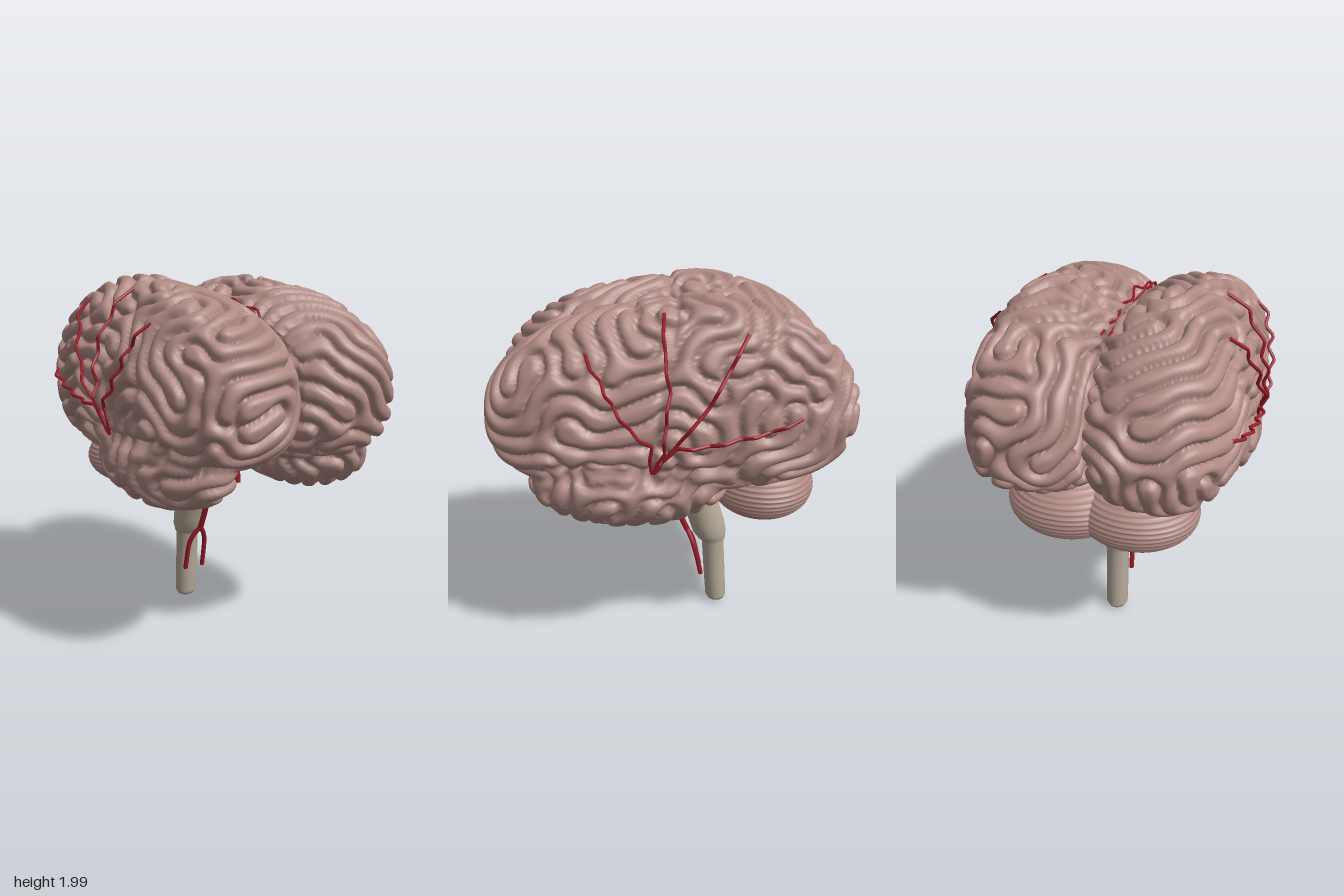
import * as THREE from 'three';
import { mergeVertices } from 'three/addons/utils/BufferGeometryUtils.js';

const tissue = new THREE.MeshStandardMaterial({ color: 0xb08a84 });
tissue.name = 'pink tissue';
const pale = new THREE.MeshStandardMaterial({ color: 0xb7aa99 });
pale.name = 'pale stem';
const red = new THREE.MeshStandardMaterial({ color: 0x9c1c2a, side: THREE.DoubleSide });
red.name = 'artery red';

function seeded(seed) {
  return () => {
    seed = (Math.imul(seed, 1664525) + 1013904223) >>> 0;
    return seed / 4294967296;
  };
}

// Drop seams so that normals run smoothly all the way round
function weld(geometry) {
  geometry.deleteAttribute('uv');
  geometry.deleteAttribute('normal');
  const g = mergeVertices(geometry, 1e-5);
  g.computeVertexNormals();
  return g;
}

function addMesh(group, name, geometry, material) {
  const mesh = new THREE.Mesh(geometry, material);
  mesh.name = name;
  group.add(mesh);
  return mesh;
}

// Smooth outline of one hemisphere: a rounded main body joined with the temporal lobe
const CENTRE = new THREE.Vector3(0.34, 1.42, 0);
const OUTER = 0.375, INNER = 0.5, LENGTH = 0.955, PLAN = 2.6;
const LOBE = { c: new THREE.Vector3(0.42, 1.05, 0.225), r: new THREE.Vector3(0.295, 0.245, 0.53) };
const power = (a, b, p) => Math.pow(Math.pow(Math.abs(a), p) + Math.pow(Math.abs(b), p), 1 / p);
// Half height and roundness: the crown is higher at the back, the underside is flatter
const height = (y, z) => (y > 0 ? [0.56 - 0.027 * Math.tanh((z + 0.03) / 0.12), 2] : [0.42, 3]);

function outline(d) {
  const [ry, p] = height(d.y, d.z);
  const plan = power(d.x / (d.x > 0 ? OUTER : INNER), d.z / LENGTH, PLAN);
  let t = 1 / power(plan, d.y / ry, p);
  const o = CENTRE.clone().sub(LOBE.c).divide(LOBE.r), e = d.clone().divide(LOBE.r);
  const a = e.dot(e), b = o.dot(e), disc = b * b - a * (o.dot(o) - 1);
  if (disc > 0) t = Math.max(t, (-b + Math.sqrt(disc)) / a);
  return d.clone().multiplyScalar(t).add(CENTRE);
}

// Outer side of the main body at a given height and depth
function sideX(y, z) {
  const [ry, p] = height(y - CENTRE.y, z);
  const plan = Math.pow(Math.max(0, 1 - Math.pow(Math.abs(y - CENTRE.y) / ry, p)), 1 / p);
  const rest = Math.pow(plan, PLAN) - Math.pow(Math.abs(z) / LENGTH, PLAN);
  return CENTRE.x + OUTER * Math.pow(Math.max(0.01, rest), 1 / PLAN);
}

// Labyrinth of folds: noise is repeatedly band-passed over the surface until it forms stripes
function foldField(pos, seed) {
  const n = pos.count, R = 0.14, s1 = 0.045, s2 = 0.071, P = pos.array;
  const cells = new Map();
  const key = (x, y, z) => (x + 50) * 40000 + (y + 50) * 200 + z + 50;
  const cell = (i, k) => Math.floor(P[3 * i + k] / R);
  for (let i = 0; i < n; i++) {
    const k = key(cell(i, 0), cell(i, 1), cell(i, 2));
    if (!cells.has(k)) cells.set(k, []);
    cells.get(k).push(i);
  }
  const near = [], weights = [];
  for (let i = 0; i < n; i++) {
    const ids = [], w1 = [], w2 = [];
    let sum1 = 0, sum2 = 0;
    const cx = cell(i, 0), cy = cell(i, 1), cz = cell(i, 2);
    for (let a = -1; a <= 1; a++) for (let b = -1; b <= 1; b++) for (let c = -1; c <= 1; c++) {
      const list = cells.get(key(cx + a, cy + b, cz + c));
      if (!list) continue;
      for (const j of list) {
        const dx = P[3 * i] - P[3 * j], dy = P[3 * i + 1] - P[3 * j + 1], dz = P[3 * i + 2] - P[3 * j + 2];
        const q = dx * dx + dy * dy + dz * dz;
        if (q > R * R) continue;
        const g1 = Math.exp(-q / (2 * s1 * s1)), g2 = Math.exp(-q / (2 * s2 * s2));
        ids.push(j); w1.push(g1); w2.push(g2);
        sum1 += g1; sum2 += g2;
      }
    }
    near.push(Int32Array.from(ids));
    weights.push(Float32Array.from(w1, (w, k) => w / sum1 - w2[k] / sum2));
  }
  const rand = seeded(seed);
  let u = Float32Array.from({ length: n }, () => rand() * 2 - 1), v;
  for (let step = 0; step < 13; step++) {
    v = new Float32Array(n);
    for (let i = 0; i < n; i++) {
      const ids = near[i], w = weights[i];
      let s = 0;
      for (let k = 0; k < ids.length; k++) s += w[k] * u[ids[k]];
      v[i] = s;
    }
    u = v.map((s) => Math.tanh(s * (step < 4 ? 40 : 10)));
  }
  return v;
}

function hemisphere(side, seed) {
  const g = weld(new THREE.IcosahedronGeometry(1, 54));
  const pos = g.attributes.position, d = new THREE.Vector3();
  for (let i = 0; i < pos.count; i++) {
    d.fromBufferAttribute(pos, i);
    d.set(d.x * side * 0.4, d.y * 0.55, d.z * 0.95);
    const p = outline(d);
    pos.setXYZ(i, side * Math.max(p.x, 0.007), p.y, p.z);
  }
  g.computeVertexNormals();
  const field = foldField(pos, seed), nor = g.attributes.normal;
  const furrow = (distance, width) => Math.exp(-((distance / width) ** 2));
  for (let i = 0; i < pos.count; i++) {
    const f = Math.min(1, Math.abs(field[i]) / 0.36);
    const x = pos.getX(i), y = pos.getY(i), z = pos.getZ(i);
    let sink = 0.05 * Math.pow(1 - f, 2.2);
    // Furrows across the crown, and the long one above the temporal lobe
    if (y > 1.3) sink += 0.025 * furrow(z + 0.02 - (2 - y) * 0.2, 0.018);
    if (y > 1.6) sink += 0.018 * furrow(z + 0.4, 0.016);
    if (side * x > 0.5 && z > -0.3 && z < 0.65) sink += 0.025 * furrow(y - 1.19, 0.025);
    const nx = x - nor.getX(i) * sink;
    pos.setXYZ(i, side * Math.max(side * nx, 0.005), y - nor.getY(i) * sink, z - nor.getZ(i) * sink);
  }
  g.computeVertexNormals();
  return g;
}

// One finely ridged lobe under the back of the hemispheres
function cerebellumLobe(side) {
  const g = new THREE.SphereGeometry(1, 52, 66), pos = g.attributes.position;
  for (let i = 0; i < pos.count; i++) {
    const c = THREE.MathUtils.clamp(pos.getY(i), -1, 1), s = Math.max(1e-6, Math.hypot(pos.getX(i), pos.getZ(i)));
    const ridge = 1 - 0.04 * (1 - Math.abs(Math.sin(22 * Math.acos(c))));
    const k = Math.pow(s, 0.9) / s * ridge;
    pos.setXYZ(i, side * 0.185 + pos.getX(i) * k * 0.335, 0.915 + c * 0.185 * ridge, -0.5 + pos.getZ(i) * k * 0.29);
  }
  return weld(g);
}

// Stem cross-sections from top to bottom: y, z, half width, half depth
function stem() {
  const rows = [
    [1.3, -0.12, 0, 0], [1.29, -0.12, 0.05, 0.06], [1.1, -0.1, 0.07, 0.08], [1.02, -0.09, 0.09, 0.11],
    [0.98, -0.09, 0.135, 0.135], [0.93, -0.09, 0.175, 0.155], [0.88, -0.09, 0.187, 0.16], [0.83, -0.095, 0.168, 0.15],
    [0.78, -0.115, 0.13, 0.135], [0.72, -0.165, 0.105, 0.113], [0.66, -0.19, 0.1, 0.107], [0.55, -0.225, 0.098, 0.105],
    [0.49, -0.24, 0.094, 0.1], [0.45, -0.253, 0.08, 0.084], [0.425, -0.262, 0.066, 0.066], [0.2, -0.277, 0.065, 0.065],
    [0.04, -0.288, 0.063, 0.063], [0.015, -0.29, 0.05, 0.05], [0.003, -0.291, 0.028, 0.028], [0, -0.291, 0, 0],
  ];
  const g = new THREE.CylinderGeometry(1, 1, 1, 32, rows.length - 1, true), pos = g.attributes.position;
  for (let i = 0; i < pos.count; i++) {
    const [y, z, rx, rz] = rows[Math.floor(i / 33)];
    pos.setXYZ(i, pos.getX(i) * rx, y, z + pos.getZ(i) * rz);
  }
  return weld(g);
}

function tube(points, radius, tension = 0.5) {
  const curve = new THREE.CatmullRomCurve3(points.map((p) => new THREE.Vector3(...p)), false, 'catmullrom', tension);
  return new THREE.TubeGeometry(curve, points.length * 4, radius, 6);
}

// Side artery zigzagging over the outer surface, sunk into the furrow at its root; path points are z, y
function sideArtery(side, path) {
  const points = [];
  path.forEach(([z, y], i) => {
    const [z2, y2] = path[Math.min(i + 1, path.length - 1)];
    for (const t of i < path.length - 1 ? [0, 0.5] : [0]) {
      const pz = z + (z2 - z) * t, py = y + (y2 - y) * t;
      const lift = py < 1.3 ? -0.008 : t ? 0.032 : -0.002;
      points.push([side * (sideX(py, pz) + lift), py, pz + (t ? 0.01 : 0)]);
    }
  });
  return tube(points, 0.009, 0.15);
}

export function createModel() {
  const model = new THREE.Group();
  model.name = 'brain';
  addMesh(model, 'brainStem', stem(), pale);

  const branches = [
    [[0.12, 1.19], [0.12, 1.34], [0.22, 1.43], [0.3, 1.55], [0.35, 1.65], [0.42, 1.76]],
    [[0.11, 1.19], [0.06, 1.3], [0.05, 1.45], [0.03, 1.6], [0.05, 1.77], [0.05, 1.92]],
    [[0.1, 1.2], [0, 1.35], [-0.15, 1.53], [-0.25, 1.7], [-0.34, 1.84]],
    [[0.1, 1.2], [0, 1.33], [-0.15, 1.34], [-0.3, 1.37], [-0.45, 1.4], [-0.6, 1.45]],
  ];
  for (const side of [1, -1]) {
    const label = side > 0 ? 'left' : 'right';
    addMesh(model, label + 'Hemisphere', hemisphere(side, side > 0 ? 7 : 23), tissue);
    addMesh(model, label + 'Cerebellum', cerebellumLobe(side), tissue);

    const arteries = new THREE.Group();
    arteries.name = label + 'Arteries';
    model.add(arteries);
    for (const path of branches) addMesh(arteries, 'sideArtery', sideArtery(side, path), red);
    addMesh(arteries, 'midlineArtery', tube([
      [0.04, 1.03, 0.1], [0.008, 1.12, 0.3], [0.01, 1.45, 0.45], [0.01, 1.7, 0.46], [0.016, 1.81, 0.42],
      [0.012, 1.82, 0.27], [0.036, 1.86, 0.18], [0.008, 1.83, 0.06], [0.026, 1.85, -0.08], [0.008, 1.82, -0.2],
      [0.02, 1.83, -0.3], [0.02, 1.82, -0.42],
    ].map(([x, y, z]) => [side * x, y, z]), 0.007, 0.3), red);
    addMesh(arteries, 'carotidArtery', tube([
      [side * 0.105, 0.82, 0.13], [side * 0.105, 0.89, 0.125], [side * 0.105, 0.95, 0.1], [side * 0.1, 0.97, 0.0],
    ], 0.018), red);
    addMesh(arteries, 'vertebralArtery', tube([
      [0, 0.5, -0.105], [side * 0.035, 0.45, -0.13], [side * 0.055, 0.38, -0.152], [side * 0.06, 0.22, -0.187],
    ], 0.014), red);
  }
  addMesh(model, 'basilarArtery', tube([[0, 0.77, -0.005], [0, 0.63, -0.05], [0, 0.5, -0.105]], 0.018), red);
  addMesh(model, 'joiningArtery', tube([[-0.045, 1.03, 0.1], [0, 1.035, 0.11], [0.045, 1.03, 0.1]], 0.01), red);

  // Small rounded knob in front of the stem
  const knob = addMesh(model, 'opticCrossing', new THREE.SphereGeometry(1, 20, 12), tissue);
  knob.scale.set(0.05, 0.03, 0.06);
  knob.position.set(0, 1.0, 0.08);
  return model;
}
